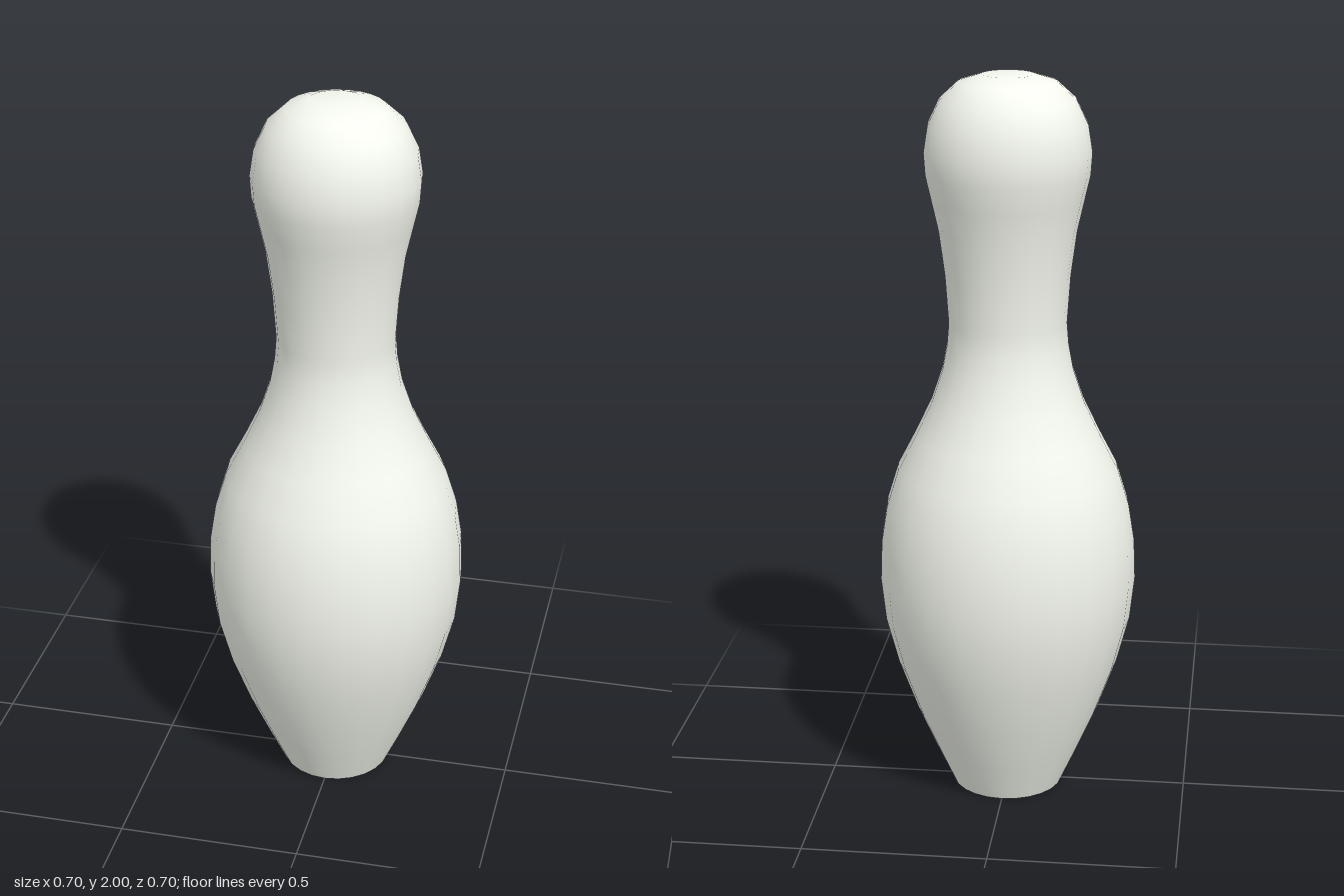
import * as THREE from 'three';

const SIDES = 24;

// Silhouette from the foot to the crown: [radius, height]
const PROFILE = [
  [0.152, 0], [0.202, 0.11], [0.254, 0.23], [0.305, 0.37], [0.339, 0.5],
  [0.352, 0.62], [0.348, 0.73], [0.332, 0.83], [0.301, 0.93], [0.252, 1.025],
  [0.207, 1.12], [0.177, 1.21], [0.164, 1.28], [0.159, 1.34], [0.168, 1.47],
  [0.184, 1.59], [0.202, 1.67], [0.218, 1.74], [0.222, 1.8], [0.211, 1.87],
  [0.18, 1.935], [0.13, 1.981], [0.07, 2], [0, 2],
];

export function createModel() {
  const group = new THREE.Group();
  group.name = 'bowlingPin';
  const material = new THREE.MeshStandardMaterial({ color: 0xf4f7ee });

  // Turned body with neck and rounded head, closed flat at the crown
  const points = PROFILE.map(([r, y]) => new THREE.Vector2(r, y));
  const body = new THREE.Mesh(new THREE.LatheGeometry(points, SIDES), material);
  body.name = 'body';
  group.add(body);

  // Flat foot with a sharp rim
  const base = new THREE.Mesh(new THREE.CircleGeometry(PROFILE[0][0], SIDES), material);
  base.rotation.x = Math.PI / 2;
  base.name = 'base';
  group.add(base);

  return group;
}
